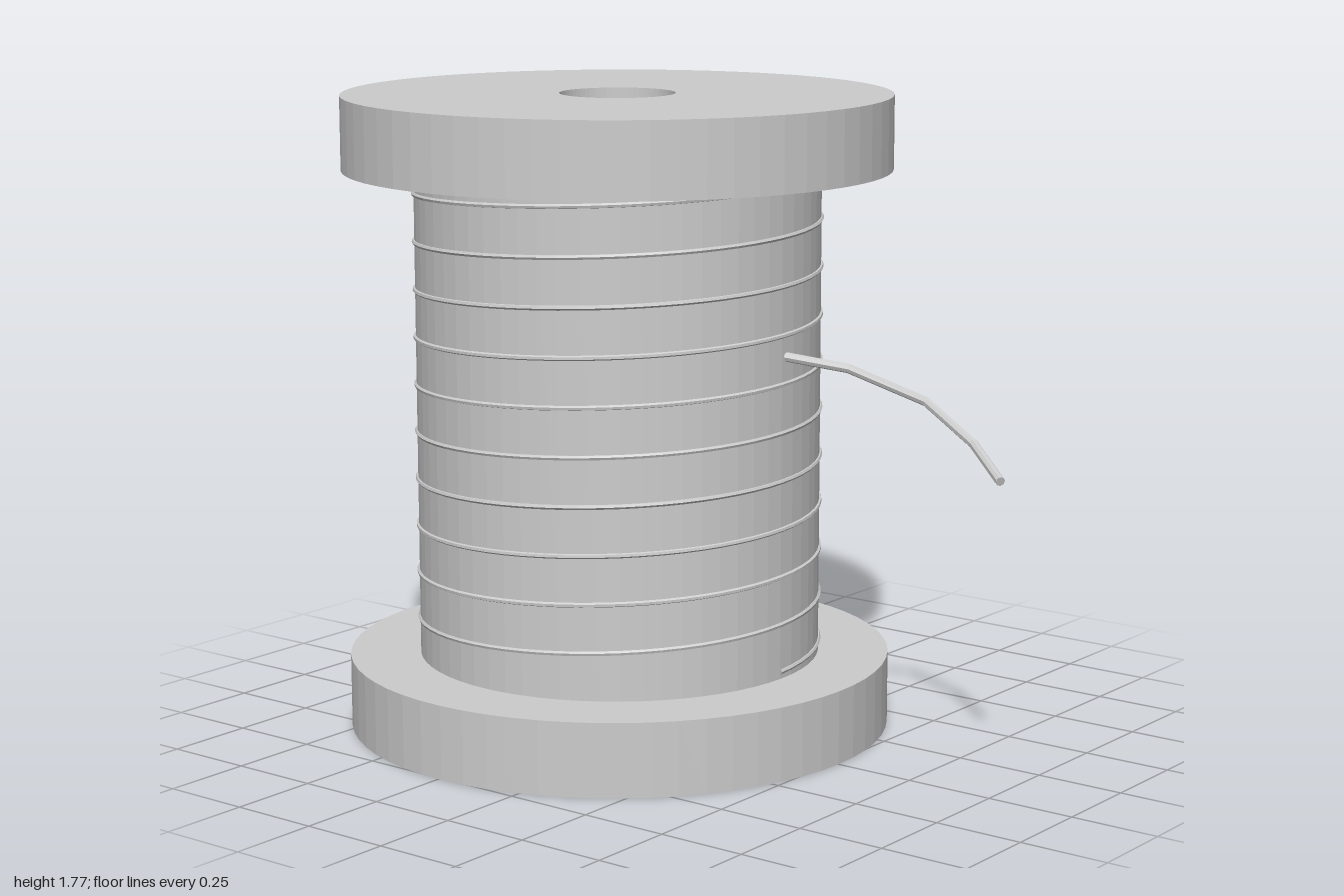
import * as THREE from 'three';

const AXIS_X = -0.24, BORE = 0.16, CORE_R = 0.563, FLANGE_R = 0.76;
const HEIGHT = 1.775, FLANGE_H = 0.205;

// Straight-sided ring around the y axis; caps are optional where parts meet
function ring(name, radius, y0, y1, material) {
  const profile = [[BORE, y0], [radius, y0], [radius, y1], [BORE, y1], [BORE, y0]]
    .map(([r, y]) => new THREE.Vector2(r, y));
  const mesh = new THREE.Mesh(new THREE.LatheGeometry(profile, 64), material);
  mesh.name = name;
  return mesh;
}

// Thread wound upward around the core
class Winding extends THREE.Curve {
  getPoint(t, target = new THREE.Vector3()) {
    const a = t * Math.PI * 2 * 10;
    return target.set(Math.cos(a) * CORE_R, 0.225 + 1.33 * t, -Math.sin(a) * CORE_R);
  }
}

// Kinked path whose tube rings land exactly on the control points
class KinkedPath extends THREE.CatmullRomCurve3 {
  getPointAt(u, target) { return this.getPoint(u, target); }
  getTangentAt(u, target) { return this.getTangent(u, target); }
}

export function createModel() {
  const model = new THREE.Group();
  model.name = 'threadSpool';
  const grey = new THREE.MeshStandardMaterial({ color: 0xcccccc });
  grey.name = 'light grey';
  grey.flatShading = true;

  // Spool body
  const spool = new THREE.Group();
  spool.name = 'spool';
  spool.position.x = AXIS_X;
  spool.add(
    ring('bottomFlange', FLANGE_R, 0, FLANGE_H, grey),
    ring('core', CORE_R, FLANGE_H, HEIGHT - FLANGE_H, grey),
    ring('topFlange', FLANGE_R, HEIGHT - FLANGE_H, HEIGHT, grey),
  );

  // Wound thread
  const winding = new THREE.Mesh(new THREE.TubeGeometry(new Winding(), 640, 0.007, 6), grey);
  winding.name = 'woundThread';
  spool.add(winding);
  model.add(spool);

  // Loose thread end
  const path = new KinkedPath([
    [0.315, 1.097, -0.02], [0.47, 1.07, -0.1], [0.65, 0.985, -0.205],
    [0.83, 0.9, -0.16], [0.99, 0.84, -0.04],
  ].map((p) => new THREE.Vector3(...p)));
  const tail = new THREE.Group();
  tail.name = 'looseThread';
  const strand = new THREE.Mesh(new THREE.TubeGeometry(path, 4, 0.013, 8), grey);
  strand.name = 'strand';
  tail.add(strand);

  // Caps on both ends of the strand
  for (const [u, sign] of [[0, -1], [1, 1]]) {
    const cap = new THREE.Mesh(new THREE.CircleGeometry(0.013, 8), grey);
    cap.name = 'strandCap';
    cap.position.copy(path.getPoint(u));
    cap.quaternion.setFromUnitVectors(new THREE.Vector3(0, 0, 1), path.getTangent(u).multiplyScalar(sign));
    tail.add(cap);
  }
  model.add(tail);
  return model;
}
